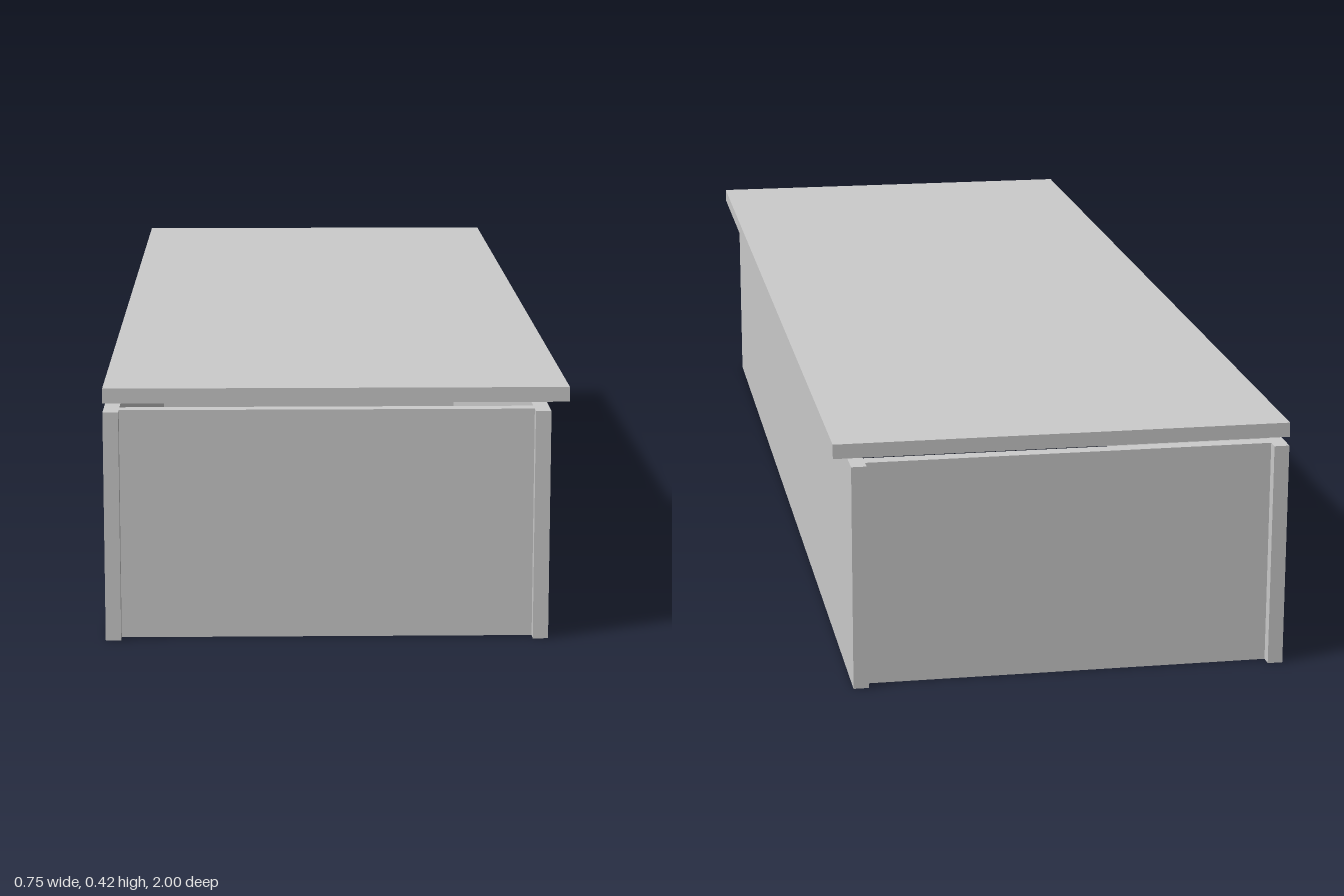
import * as THREE from 'three';

export function createModel() {
  const model = new THREE.Group();
  const material = new THREE.MeshStandardMaterial({ color: 0xcccccc, flatShading: true });

  // Adds a box board given its extents along each axis
  function board(name, [x0, x1], [y0, y1], [z0, z1]) {
    const geometry = new THREE.BoxGeometry(x1 - x0, y1 - y0, z1 - z0);
    const mesh = new THREE.Mesh(geometry, material);
    mesh.position.set((x0 + x1) / 2, (y0 + y1) / 2, (z0 + z1) / 2);
    mesh.name = name;
    model.add(mesh);
  }

  const thick = 0.025, recess = 0.02;
  const wall = [0, 0.377];
  const right = -0.374, left = 0.345;

  // Lid floats just above the walls and overhangs the left side only
  board('lid', [-0.374, 0.374], [0.392, 0.416], [-1, 1]);

  // Long side walls
  board('rightWall', [right, right + thick], wall, [-1, 1]);
  board('leftWall', [left - thick, left], wall, [-1, 1]);

  // End walls, set back between the side walls; the bottom stays open
  const inner = [right + thick, left - thick];
  board('frontWall', inner, wall, [1 - recess - thick, 1 - recess]);
  board('backWall', inner, wall, [-1 + recess, -1 + recess + thick]);

  return model;
}
